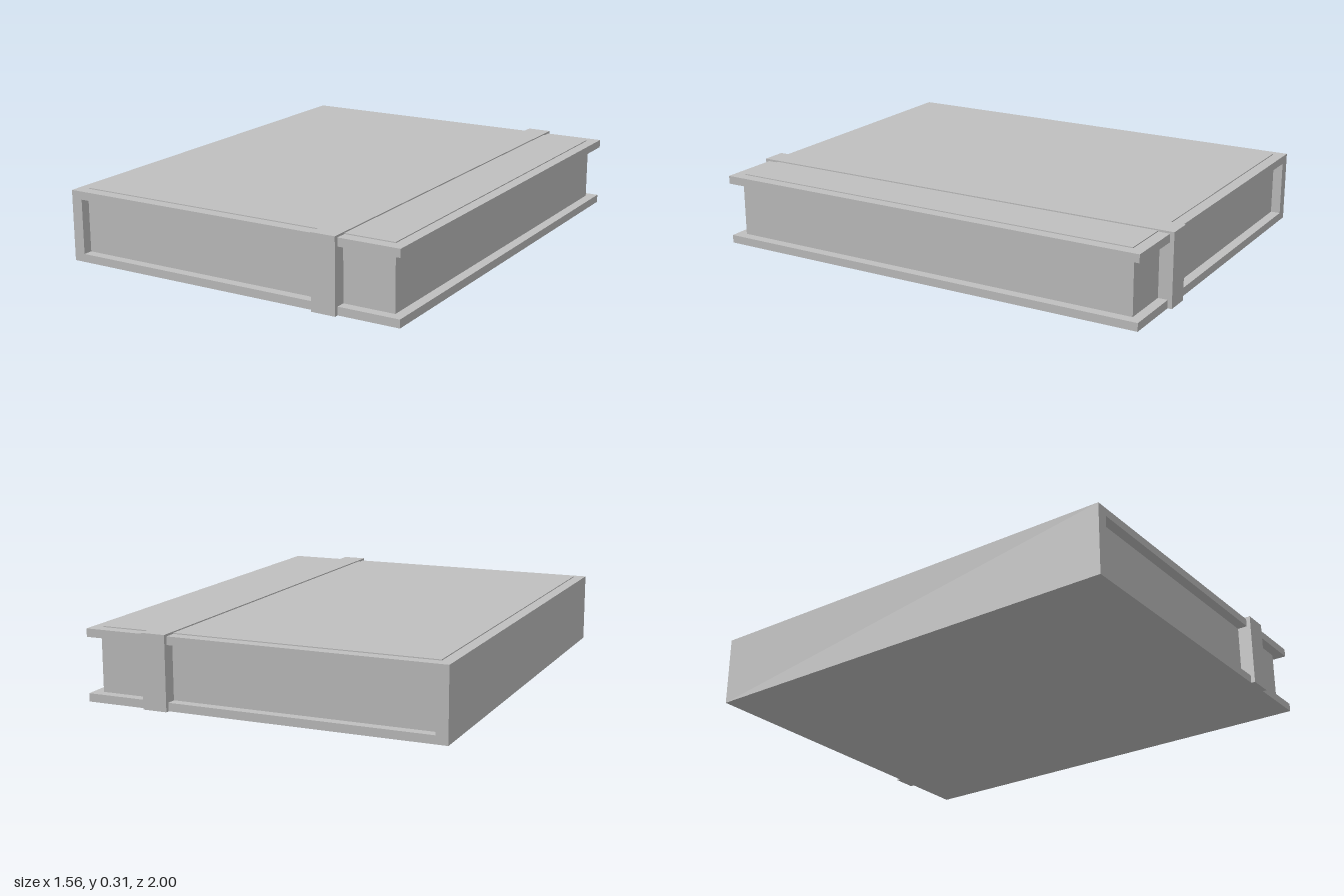
import * as THREE from 'three';

export function createModel() {
  const book = new THREE.Group();
  book.name = 'book';
  const grey = new THREE.MeshStandardMaterial({ color: 0xbfbfbf });
  grey.name = 'light grey';

  // Box given by its lower and upper limits in x and y, and its half depth in z
  const addBox = (name, [x0, x1], [y0, y1], halfDepth) => {
    const geometry = new THREE.BoxGeometry(x1 - x0, y1 - y0, halfDepth * 2);
    const mesh = new THREE.Mesh(geometry, grey);
    mesh.position.set((x0 + x1) / 2, (y0 + y1) / 2, 0);
    mesh.name = name;
    book.add(mesh);
  };

  const width = 0.778, depth = 0.982, height = 0.306, board = 0.035, spineEdge = -0.728;

  // Hard cover: spine and two boards
  addBox('spine', [-width, spineEdge], [0, height], depth);
  addBox('backCover', [spineEdge, width], [0, board], depth);
  addBox('frontCover', [spineEdge, width], [height - board, height], depth);

  // Thin raised panel on the front cover
  addBox('coverPanel', [-0.73, 0.73], [height, height + 0.004], 0.932);

  // Page block, set back from the cover edges
  addBox('pages', [spineEdge, 0.735], [board, height - board], 0.94);

  // Closing strap around the whole book
  addBox('strap', [0.404, 0.511], [0, 0.315], 1);

  return book;
}
